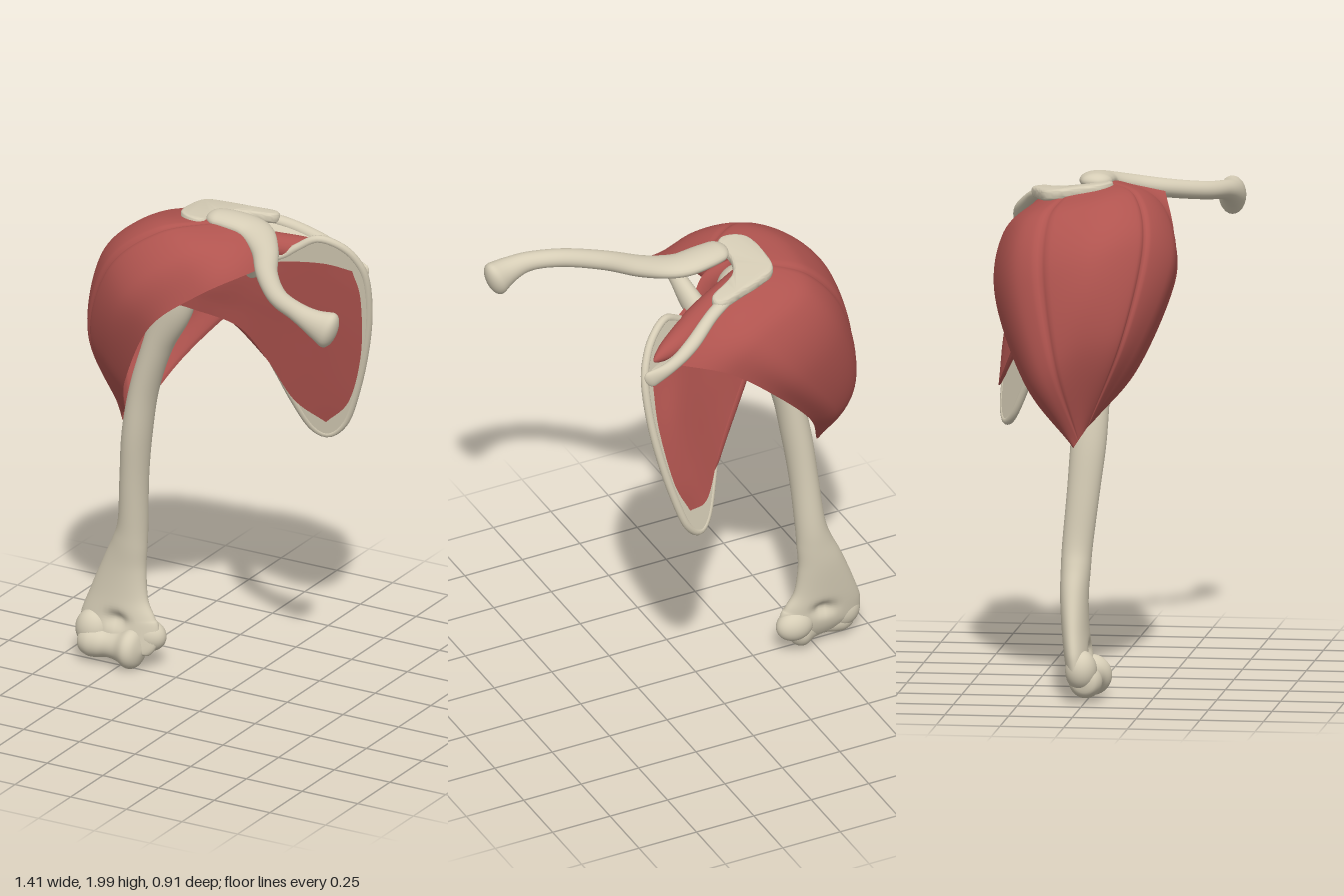
import * as THREE from 'three';
import { toCreasedNormals } from 'three/addons/utils/BufferGeometryUtils.js';

const V = (x, y, z = 0) => new THREE.Vector3(x, y, z);
const curve = (pts, closed = false) => new THREE.CatmullRomCurve3(pts.map(p => V(...p)), closed, 'catmullrom', 0.5);
const bone = new THREE.MeshStandardMaterial({ color: 0xd6cdb6, side: THREE.DoubleSide });
const muscle = new THREE.MeshStandardMaterial({ color: 0xb0544f, side: THREE.DoubleSide });

function part(name, geometry, material, pos = [0, 0, 0], scale = [1, 1, 1]) {
  const m = new THREE.Mesh(geometry, material);
  m.name = name;
  m.position.set(...pos);
  m.scale.set(...scale);
  return m;
}

function indexed(verts, index) {
  const g = new THREE.BufferGeometry();
  g.setAttribute('position', new THREE.Float32BufferAttribute(verts, 3));
  g.setIndex(index);
  g.computeVertexNormals();
  return g;
}

// Rounded strand: each section is [x, y, z, a, b], a measured along `side`, b across it
function loft(sections, side, round = 0.06, n = 70, m = 24) {
  const path = curve(sections.map(s => s.slice(0, 3)));
  const radii = curve(sections.map(s => [s[3], s[4], 0]));
  const verts = [], index = [];
  for (let i = 0; i <= n; i++) {
    const t = (1 - Math.cos(Math.PI * i / n)) / 2;
    const c = path.getPoint(t), r = radii.getPoint(t), T = path.getTangent(t);
    const N = side.clone().addScaledVector(T, -side.dot(T)).normalize();
    const B = T.clone().cross(N);
    const e = Math.min(1, Math.min(t, 1 - t) / round);
    const k = Math.max(0.001, Math.sqrt(1 - (1 - e) ** 2));
    for (let j = 0; j < m; j++) {
      const a = 2 * Math.PI * j / m;
      const p = c.clone().addScaledVector(N, r.x * k * Math.cos(a)).addScaledVector(B, r.y * k * Math.sin(a));
      verts.push(p.x, p.y, p.z);
      if (i === n) continue;
      const p0 = i * m + j, p1 = i * m + (j + 1) % m;
      index.push(p0, p1, p0 + m, p1, p1 + m, p0 + m);
    }
  }
  return indexed(verts, index);
}

// Fleshy sheet through a net of fibres, thinning to its edges, with optional grooves between heads
function sheet(net, thick, grooves = [], nu = 130, nv = 44) {
  const fibres = net.map(f => curve(f));
  const grid = [];
  for (let j = 0; j <= nv; j++) {
    const across = new THREE.CatmullRomCurve3(fibres.map(f => f.getPoint(j / nv)), false, 'catmullrom', 0.5);
    grid.push(Array.from({ length: nu + 1 }, (_, i) => across.getPoint(i / nu)));
  }
  const outer = [], inner = [], index = [], count = (nu + 1) * (nv + 1);
  const at = (i, j) => grid[THREE.MathUtils.clamp(j, 0, nv)][THREE.MathUtils.clamp(i, 0, nu)];
  for (let j = 0; j <= nv; j++) for (let i = 0; i <= nu; i++) {
    const n = at(i + 1, j).clone().sub(at(i - 1, j)).cross(at(i, j + 1).clone().sub(at(i, j - 1))).normalize();
    const u = i / nu, v = j / nv;
    const edge = Math.sqrt(Math.max(0, Math.sin(Math.PI * u) * Math.sin(Math.PI * v)));
    const dip = grooves.reduce((s, g) => s + Math.exp(-(((u - g) / 0.009) ** 2)), 0) * 0.012 * edge;
    const o = at(i, j).clone().addScaledVector(n, -dip);
    outer.push(o.x, o.y, o.z);
    const q = at(i, j).clone().addScaledVector(n, -thick * edge);
    inner.push(q.x, q.y, q.z);
    if (i === nu || j === nv) continue;
    const a = j * (nu + 1) + i, b = a + 1, c = a + nu + 1, d = c + 1;
    index.push(a, b, c, b, d, c);
    index.push(...[a, c, b, b, c, d].map(k => k + count));
  }
  return indexed(outer.concat(inner), index);
}

// Plane of the shoulder blade, and a way to lay a flat net over it
const bladeZ = (x, y) => -0.36 - 0.52 * (x - 0.41) + 0.24 * (y - 1.68);
const overBlade = (rows, lifts) => rows.map(r => r.map(([x, y], k) => [x, y, bladeZ(x, y) + lifts[k]]));

function createHumerus() {
  const g = new THREE.Group();
  g.name = 'humerus';
  const shaft = loft([
    [-0.215, 1.74, 0.015, 0.08, 0.08], [-0.24, 1.58, 0.028, 0.078, 0.066], [-0.32, 1.4, 0.015, 0.06, 0.065],
    [-0.39, 1.2, 0, 0.056, 0.068], [-0.43, 1, -0.012, 0.058, 0.07], [-0.454, 0.8, -0.03, 0.056, 0.064],
    [-0.471, 0.6, -0.05, 0.06, 0.06], [-0.488, 0.5, -0.055, 0.073, 0.058], [-0.512, 0.4, -0.057, 0.094, 0.055],
    [-0.53, 0.28, -0.05, 0.126, 0.052], [-0.53, 0.19, -0.04, 0.165, 0.052], [-0.52, 0.12, -0.03, 0.175, 0.05],
    [-0.525, 0.06, -0.01, 0.13, 0.04],
  ], V(1, 0, 0), 0.025, 110, 40);
  // Hollows above the elbow joint, front and back
  const p = shaft.attributes.position;
  for (let i = 0; i < p.count; i++) {
    const d = ((p.getX(i) + 0.515) / 0.04) ** 2 + ((p.getY(i) - 0.19) / 0.03) ** 2;
    const z = p.getZ(i);
    p.setZ(i, z - (z + 0.04) * 0.65 * Math.exp(-d));
  }
  shaft.computeVertexNormals();
  g.add(part('humerusShaft', shaft, bone));
  const ball = new THREE.SphereGeometry(1, 32, 20);
  g.add(part('humerusHead', ball, bone, [-0.21, 1.72, 0.005], [0.105, 0.11, 0.11]));
  g.add(part('outerTubercle', ball, bone, [-0.27, 1.72, 0.015], [0.08, 0.1, 0.095]));
  g.add(part('outerEpicondyle', ball, bone, [-0.63, 0.126, -0.015], [0.072, 0.08, 0.062]));
  g.add(part('innerEpicondyle', ball, bone, [-0.405, 0.13, -0.052], [0.077, 0.065, 0.055]));
  // Spool of the elbow joint, turned about x
  const spool = new THREE.SplineCurve([[0.001, -0.68], [0.045, -0.668], [0.064, -0.63], [0.062, -0.59], [0.054, -0.55],
    [0.06, -0.5], [0.081, -0.45], [0.062, -0.415], [0.001, -0.395]].map(q => new THREE.Vector2(...q)));
  const lathe = new THREE.LatheGeometry(spool.getPoints(40), 36).rotateZ(-Math.PI / 2);
  g.add(part('elbowSpool', lathe, bone, [0, 0.082, 0.001]));
  return g;
}

function createScapula() {
  const g = new THREE.Group();
  g.name = 'scapula';
  const outline = [[0.25, 1.868], [0.32, 1.84], [0.37, 1.78], [0.398, 1.68], [0.388, 1.5], [0.348, 1.3], [0.288, 1.1],
    [0.245, 1.01], [0.19, 0.97], [0.138, 1.01], [0.09, 1.13], [0.05, 1.26], [0, 1.41], [-0.06, 1.54], [-0.11, 1.63],
    [-0.1, 1.75], [0.04, 1.77], [0.12, 1.79], [0.18, 1.83]];
  const edge = curve(outline.map(([x, y]) => [x, y, bladeZ(x, y)]), true);
  const shape = new THREE.Shape(edge.getPoints(90).map(q => new THREE.Vector2(q.x, q.y)));
  const blade = new THREE.ExtrudeGeometry(shape, { depth: 0.03, bevelEnabled: false }).translate(0, 0, -0.015);
  const p = blade.attributes.position;
  for (let i = 0; i < p.count; i++) p.setZ(i, p.getZ(i) + bladeZ(p.getX(i), p.getY(i)));
  g.add(part('blade', toCreasedNormals(blade, 0.7), bone));
  g.add(part('bladeRim', new THREE.TubeGeometry(edge, 140, 0.016, 12, true), bone));
  g.add(part('glenoid', new THREE.SphereGeometry(1, 24, 16), bone, [-0.08, 1.68, -0.09], [0.055, 0.095, 0.07]));

  // Raised spine: rounded crest and the web joining it to the blade
  const crest = [[0.4, 1.695, -0.365, 0.04, 0.012], [0.3, 1.745, -0.378, 0.026, 0.022], [0.2, 1.805, -0.36, 0.027, 0.028],
    [0.08, 1.872, -0.3, 0.024, 0.026], [-0.03, 1.905, -0.245, 0.02, 0.03], [-0.13, 1.92, -0.17, 0.012, 0.05]];
  g.add(part('spineCrest', loft(crest, V(0, 1, 0), 0.05), bone));
  const root = [0.39, 0.3, 0.2, 0.1, 0.02, -0.04].map(x => [x, 1.72, bladeZ(x, 1.72)]);
  g.add(part('spineWeb', sheet([crest.map(c => c.slice(0, 3)), root], 0.02, [], 12, 30), bone));

  // Flat acromion over the joint, narrowing into the spine
  const plan = curve([[0.03, 0.285], [-0.06, 0.26], [-0.16, 0.23], [-0.225, 0.195], [-0.235, 0.11], [-0.22, 0.01],
    [-0.17, -0.03], [-0.12, -0.02], [-0.125, 0.08], [-0.095, 0.16], [-0.04, 0.205], [0.04, 0.25]]
    .map(([x, y]) => [x, y, 0]), true);
  const acromion = new THREE.ExtrudeGeometry(new THREE.Shape(plan.getPoints(72).map(q => new THREE.Vector2(q.x, q.y))),
    { depth: 0.016, bevelThickness: 0.013, bevelSize: 0.012, bevelSegments: 4 }).rotateX(-Math.PI / 2);
  const a = acromion.attributes.position;
  for (let i = 0; i < a.count; i++) a.setY(i, a.getY(i) + 1.942 + 0.13 * a.getZ(i) - 0.06 * (a.getX(i) + 0.15));
  g.add(part('acromion', toCreasedNormals(acromion, 0.9), bone));

  // Hooked coracoid process
  g.add(part('coracoid', loft([[0.03, 1.74, -0.12, 0.05, 0.06], [0.06, 1.81, -0.06, 0.04, 0.055],
    [0.07, 1.855, 0.02, 0.032, 0.035], [0.05, 1.825, 0.12, 0.028, 0.024]], V(1, 0, 0), 0.12), bone));
  return g;
}

function createMuscles() {
  const g = new THREE.Group();
  g.name = 'muscles';
  // Fibres run from collarbone, acromion and spine to the upper arm, front to back
  g.add(part('deltoid', sheet([
    [[0.225, 1.885, 0.2], [0, 1.755, 0.265], [-0.2, 1.59, 0.295], [-0.38, 1.28, 0.175], [-0.475, 1.08, 0.01]],
    [[0.1, 1.95, 0.01], [-0.1, 1.895, 0.22], [-0.32, 1.7, 0.295], [-0.47, 1.38, 0.185], [-0.485, 1.07, 0]],
    [[-0.08, 1.965, 0], [-0.28, 1.94, 0.13], [-0.47, 1.77, 0.18], [-0.575, 1.42, 0.12], [-0.495, 1.06, -0.01]],
    [[-0.21, 1.95, -0.06], [-0.4, 1.9, -0.03], [-0.57, 1.72, -0.02], [-0.62, 1.4, -0.03], [-0.51, 1.03, -0.03]],
    [[-0.19, 1.92, -0.18], [-0.36, 1.835, -0.28], [-0.5, 1.62, -0.285], [-0.605, 1.28, -0.18], [-0.51, 1, -0.05]],
    [[0, 1.88, -0.265], [-0.1, 1.76, -0.39], [-0.27, 1.54, -0.4], [-0.49, 1.22, -0.25], [-0.51, 0.985, -0.06]],
    [[0.27, 1.75, -0.385], [0.05, 1.65, -0.405], [-0.16, 1.47, -0.38], [-0.37, 1.225, -0.255], [-0.495, 0.98, -0.065]],
  ], 0.065, [0.3, 0.6]), muscle));

  // Front of the blade, tapering out to the arm
  g.add(part('subscapularis', sheet(overBlade([
    [[0.2, 1.03], [0.11, 1.14], [0.05, 1.33], [-0.01, 1.5], [-0.12, 1.61], [-0.23, 1.64]],
    [[0.29, 1.13], [0.2, 1.32], [0.1, 1.48], [0, 1.58], [-0.11, 1.66], [-0.24, 1.67]],
    [[0.355, 1.35], [0.26, 1.48], [0.14, 1.58], [0.02, 1.66], [-0.1, 1.7], [-0.25, 1.7]],
    [[0.38, 1.6], [0.28, 1.66], [0.15, 1.69], [0.03, 1.72], [-0.1, 1.74], [-0.25, 1.73]],
    [[0.365, 1.73], [0.28, 1.77], [0.15, 1.785], [0.03, 1.78], [-0.1, 1.77], [-0.25, 1.76]],
  ], [0.02, 0.04, 0.065, 0.11, 0.19, 0.17]), 0.05), muscle));

  // Back of the blade, below the spine
  g.add(part('infraspinatus', sheet(overBlade([
    [[0.375, 1.69], [0.25, 1.71], [0.1, 1.75], [-0.05, 1.77], [-0.19, 1.79], [-0.28, 1.76]],
    [[0.37, 1.5], [0.27, 1.52], [0.12, 1.58], [-0.03, 1.66], [-0.17, 1.72], [-0.29, 1.72]],
    [[0.32, 1.25], [0.22, 1.3], [0.1, 1.42], [-0.03, 1.55], [-0.16, 1.65], [-0.28, 1.69]],
    [[0.25, 1.1], [0.17, 1.13], [0.08, 1.3], [-0.03, 1.46], [-0.15, 1.59], [-0.26, 1.65]],
  ], [-0.035, -0.075, -0.09, -0.11, -0.115, -0.08]), 0.07), muscle));

  g.add(part('supraspinatus', loft([[0.35, 1.76, -0.335, 0.025, 0.02], [0.22, 1.79, -0.285, 0.045, 0.05],
    [0.08, 1.815, -0.21, 0.05, 0.06], [-0.08, 1.845, -0.13, 0.04, 0.055], [-0.21, 1.835, -0.04, 0.025, 0.05],
    [-0.28, 1.78, 0.01, 0.02, 0.04]], V(0, 1, 0), 0.12), muscle));
  g.add(part('teresMinor', loft([[0.11, 1.16, -0.34, 0.02, 0.02], [0.04, 1.3, -0.29, 0.035, 0.03],
    [-0.08, 1.48, -0.21, 0.04, 0.035], [-0.19, 1.58, -0.12, 0.035, 0.03], [-0.26, 1.63, -0.02, 0.025, 0.025]],
    V(0, 1, 0), 0.12), muscle));
  return g;
}

export function createModel() {
  const model = new THREE.Group();
  model.name = 'shoulder';
  // S-curved collarbone, flat at the shoulder and flared at the breastbone
  const clavicle = loft([[-0.12, 1.965, -0.02, 0.03, 0.055], [-0.02, 1.96, -0.035, 0.035, 0.068],
    [0.09, 1.945, -0.025, 0.036, 0.07], [0.19, 1.915, 0.07, 0.038, 0.054], [0.28, 1.885, 0.21, 0.037, 0.043],
    [0.4, 1.86, 0.335, 0.036, 0.038], [0.52, 1.845, 0.395, 0.038, 0.038], [0.61, 1.82, 0.41, 0.056, 0.047],
    [0.7, 1.79, 0.4, 0.092, 0.06]], V(0, 1, 0), 0.06, 80);
  model.add(part('clavicle', clavicle, bone), createHumerus(), createScapula(), createMuscles());
  return model;
}
